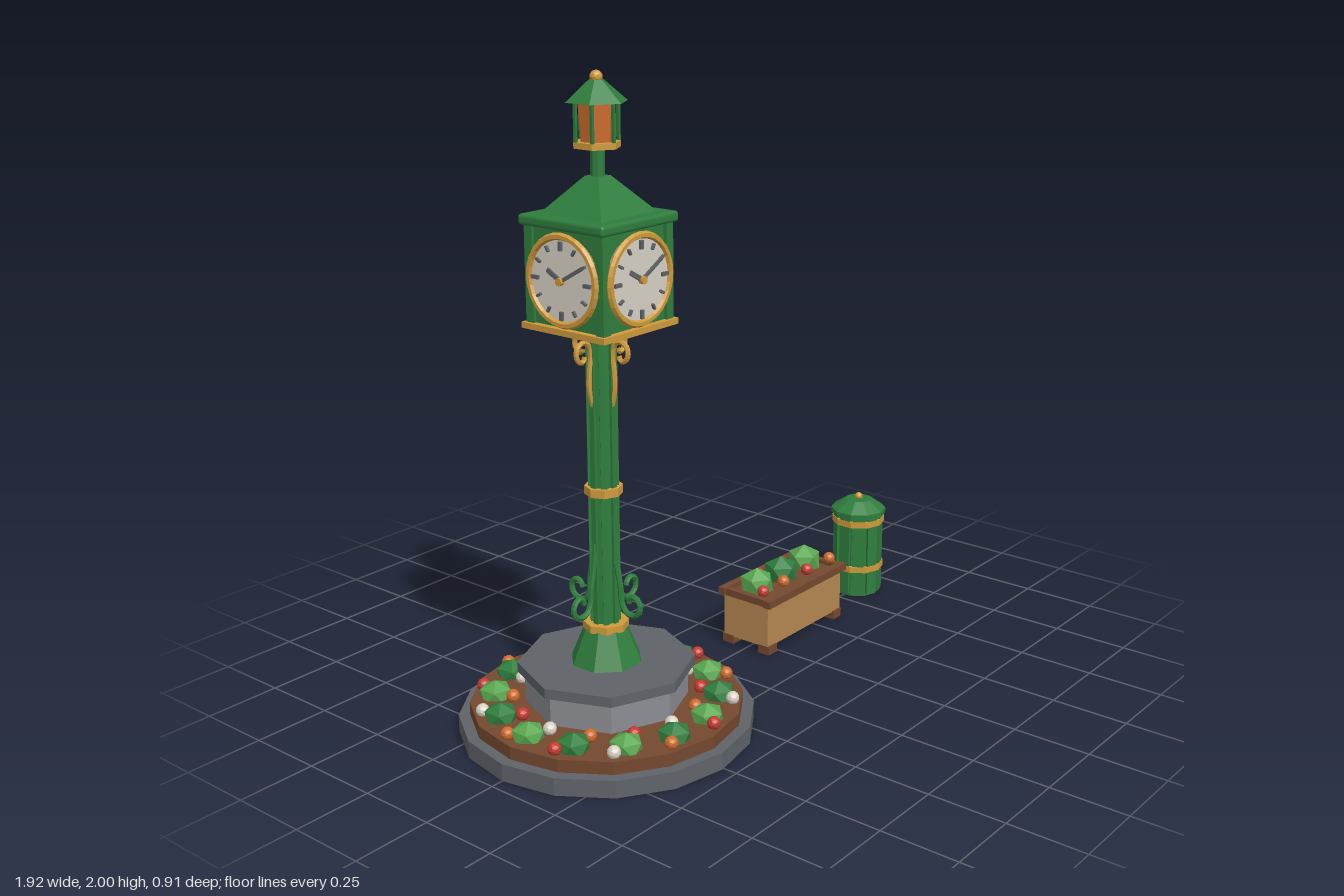
import * as THREE from 'three';
import { RoundedBoxGeometry } from 'three/addons/geometries/RoundedBoxGeometry.js';

const paint = (name, color) => {
  const m = new THREE.MeshStandardMaterial({ color, flatShading: true });
  m.name = name;
  return m;
};

export function createModel() {
  const green = paint('green', 0x2f7d3d), leaf = paint('leafGreen', 0x58a74f);
  const gold = paint('gold', 0xcf9a3c), stone = paint('darkStone', 0x5f6368);
  const paleStone = paint('paleStone', 0x8b8d92), brown = paint('brown', 0x74482f);
  const wood = paint('wood', 0xb58650), white = paint('ivory', 0xd8d2c4);
  const red = paint('red', 0xc23a30), orange = paint('orange', 0xcc6a2c);

  const add = (parent, name, geo, mat, x = 0, y = 0, z = 0) => {
    const m = new THREE.Mesh(geo, mat);
    m.name = name;
    m.position.set(x, y, z);
    parent.add(m);
    return m;
  };
  const group = (parent, name, x = 0, y = 0, z = 0) => {
    const g = new THREE.Group();
    g.name = name;
    g.position.set(x, y, z);
    parent.add(g);
    return g;
  };
  // Upright prism or frustum between two heights
  const drum = (parent, name, mat, y0, y1, r0, r1 = r0, sides = 8, turn = 0) => {
    const m = add(parent, name, new THREE.CylinderGeometry(r1, r0, y1 - y0, sides), mat, 0, (y0 + y1) / 2, 0);
    m.rotation.y = turn;
    return m;
  };
  const box = (parent, name, mat, w, h, d, x, y, z) =>
    add(parent, name, new THREE.BoxGeometry(w, h, d), mat, x, y, z);

  // Low-poly plants: one corner of the bush points up
  const bushGeo = new THREE.IcosahedronGeometry(1, 0).rotateX(-1.017);
  const flowerGeo = new THREE.IcosahedronGeometry(0.021, 1);
  const bush = (parent, mat, r, h, x, y, z, turn) => {
    const m = add(parent, 'bush', bushGeo, mat, x, y, z);
    m.scale.set(r, h, r);
    m.rotation.y = turn;
  };
  const flower = (parent, mat, x, y, z) => add(parent, 'flower', flowerGeo, mat, x, y, z);

  const model = new THREE.Group();
  model.name = 'clockSquare';
  const clock = group(model, 'streetClock', -0.505);

  // Round flower bed
  drum(clock, 'bedKerb', stone, 0, 0.055, 0.455, 0.455, 16);
  drum(clock, 'bedSoil', brown, 0.055, 0.095, 0.42, 0.42, 16);
  const bed = group(clock, 'bedPlants');
  for (let i = 0; i < 14; i++) {
    const a = i / 14 * Math.PI * 2;
    bush(bed, i % 2 ? leaf : green, 0.055, 0.042, 0.343 * Math.cos(a), 0.103, 0.343 * Math.sin(a), i * 1.3);
  }
  for (let i = 0; i < 28; i++) {
    const a = (i + 0.5) / 28 * Math.PI * 2, r = i % 2 ? 0.288 : 0.388;
    flower(bed, [red, white, orange][i % 3], r * Math.cos(a), 0.11, r * Math.sin(a));
  }

  // Octagonal plinth
  drum(clock, 'plinth', paleStone, 0.095, 0.19, 0.25);
  drum(clock, 'plinthSlab', stone, 0.19, 0.222, 0.272);

  // Post with raised ribs and bands
  drum(clock, 'postFoot', green, 0.222, 0.33, 0.112, 0.068, 8, Math.PI / 8);
  drum(clock, 'footBand', gold, 0.327, 0.35, 0.07);
  drum(clock, 'post', green, 0.35, 1.25, 0.041);
  drum(clock, 'postBand', gold, 0.757, 0.783, 0.058);
  drum(clock, 'postCollar', green, 1.235, 1.272, 0.055, 0.07);
  for (let i = 0; i < 8; i++) {
    const a = i * Math.PI / 4;
    const rib = box(clock, 'postRib', green, 0.018, 0.885, 0.012, 0.04 * Math.sin(a), 0.7925, 0.04 * Math.cos(a));
    rib.rotation.y = a;
  }

  // Scroll brackets on four sides
  const scroll = (pts, r) => new THREE.TubeGeometry(
    new THREE.CatmullRomCurve3(pts.map(([x, y]) => new THREE.Vector3(x, y, 0))), 32, r, 6);
  const lowScroll = scroll([[0.042, 0.61], [0.05, 0.53], [0.062, 0.47], [0.066, 0.425], [0.082, 0.397],
    [0.108, 0.39], [0.134, 0.405], [0.139, 0.43], [0.122, 0.451], [0.101, 0.447], [0.094, 0.43]], 0.009);
  const highScroll = scroll([[0.04, 1.035], [0.052, 1.09], [0.05, 1.14], [0.045, 1.19], [0.055, 1.222],
    [0.078, 1.232], [0.1, 1.22], [0.104, 1.195], [0.092, 1.177], [0.075, 1.176], [0.07, 1.19]], 0.008);
  for (let i = 0; i < 4; i++) {
    add(clock, 'footScroll', lowScroll, green).rotation.y = i * Math.PI / 2;
    add(clock, 'headScroll', highScroll, gold).rotation.y = i * Math.PI / 2;
  }

  // Clock case
  const head = group(clock, 'clockCase');
  box(head, 'casePlate', gold, 0.32, 0.018, 0.32, 0, 1.278, 0);
  box(head, 'caseBody', green, 0.28, 0.29, 0.28, 0, 1.43, 0);
  for (const x of [-1, 1]) for (const z of [-1, 1])
    box(head, 'cornerPost', green, 0.03, 0.29, 0.03, x * 0.135, 1.43, z * 0.135);
  add(head, 'cornice', new RoundedBoxGeometry(0.326, 0.032, 0.326, 2, 0.01), green, 0, 1.585, 0);
  drum(head, 'caseRoof', green, 1.598, 1.705, 0.12 * Math.SQRT2, 0.026 * Math.SQRT2, 4, Math.PI / 4);

  // Four dials
  const hand = (parent, length, width, angle) => {
    const arm = group(parent, 'hand', 0, 0, 0.162);
    arm.rotation.z = angle;
    box(arm, 'handBlade', stone, width, length, 0.006, 0, length / 2 - 0.008, 0);
  };
  for (let i = 0; i < 4; i++) {
    const dial = group(head, 'dial', 0, 1.427, 0);
    dial.rotation.y = i * Math.PI / 2;
    add(dial, 'dialFace', new THREE.CylinderGeometry(0.128, 0.128, 0.016, 28).rotateX(Math.PI / 2), white, 0, 0, 0.148);
    add(dial, 'dialRing', new THREE.TorusGeometry(0.127, 0.011, 6, 28), gold, 0, 0, 0.155);
    for (let h = 0; h < 12; h++) {
      const a = h * Math.PI / 6, long = h % 3 === 0;
      const tick = box(dial, 'hourMark', stone, long ? 0.011 : 0.007, long ? 0.026 : 0.018, 0.009,
        0.1 * Math.sin(a), 0.1 * Math.cos(a), 0.16);
      tick.rotation.z = -a;
    }
    hand(dial, 0.065, 0.014, Math.PI / 3);
    hand(dial, 0.105, 0.01, -Math.PI / 3);
    add(dial, 'handHub', new THREE.CylinderGeometry(0.012, 0.012, 0.014, 10).rotateX(Math.PI / 2), gold, 0, 0, 0.165);
  }

  // Lantern
  const lantern = group(clock, 'lantern');
  drum(lantern, 'lanternStem', green, 1.7, 1.79, 0.021);
  drum(lantern, 'lanternBase', gold, 1.784, 1.802, 0.07, 0.07, 6);
  drum(lantern, 'lanternGlass', orange, 1.802, 1.912, 0.048, 0.055, 6);
  for (let i = 0; i < 6; i++) {
    const a = i * Math.PI / 3;
    box(lantern, 'lanternBar', green, 0.009, 0.11, 0.009, 0.063 * Math.sin(a), 1.857, 0.063 * Math.cos(a));
  }
  drum(lantern, 'lanternRoof', green, 1.912, 1.973, 0.092, 0.022, 6);
  add(lantern, 'lanternFinial', new THREE.IcosahedronGeometry(0.019, 1), gold, 0, 1.981, 0);

  // Planter box
  const planter = group(model, 'planter', 0.405);
  box(planter, 'planterBody', wood, 0.425, 0.15, 0.185, 0, 0.102, 0);
  box(planter, 'planterSoil', brown, 0.4, 0.01, 0.17, 0, 0.18, 0);
  for (const s of [-1, 1]) {
    box(planter, 'longRim', brown, 0.45, 0.026, 0.026, 0, 0.187, s * 0.095);
    box(planter, 'endRim', brown, 0.024, 0.024, 0.17, s * 0.206, 0.186, 0);
    for (const z of [-1, 1])
      box(planter, 'planterFoot', brown, 0.046, 0.03, 0.046, s * 0.19, 0.015, z * 0.075);
  }
  [-0.137, 0, 0.137].forEach((x, i) =>
    bush(planter, i === 1 ? green : leaf, 0.062, 0.056, x, 0.21, -0.012, i * 1.1));
  for (let i = 0; i < 4; i++) {
    const x = -0.2 + i * 0.135;
    flower(planter, i % 2 ? orange : red, x + (i ? 0 : 0.02), 0.21, 0.048);
    if (i) flower(planter, i === 3 ? orange : red, Math.min(x, 0.19), 0.21, -0.058);
  }

  // Litter bin
  const bin = group(model, 'litterBin', 0.862);
  drum(bin, 'binBody', green, 0, 0.31, 0.082, 0.082, 10);
  for (let i = 0; i < 10; i++) {
    const a = (i + 0.5) / 10 * Math.PI * 2;
    const slat = box(bin, 'binSlat', green, 0.042, 0.29, 0.014, 0.08 * Math.sin(a), 0.155, 0.08 * Math.cos(a));
    slat.rotation.y = a;
  }
  for (const y of [0.105, 0.278]) drum(bin, 'binBand', gold, y - 0.011, y + 0.011, 0.094, 0.094, 10);
  drum(bin, 'binLidRim', green, 0.3, 0.318, 0.098, 0.098, 10);
  drum(bin, 'binLid', green, 0.318, 0.352, 0.096, 0.047, 10);
  add(bin, 'binKnob', new THREE.IcosahedronGeometry(0.014, 1), gold, 0, 0.36, 0);

  return model;
}
